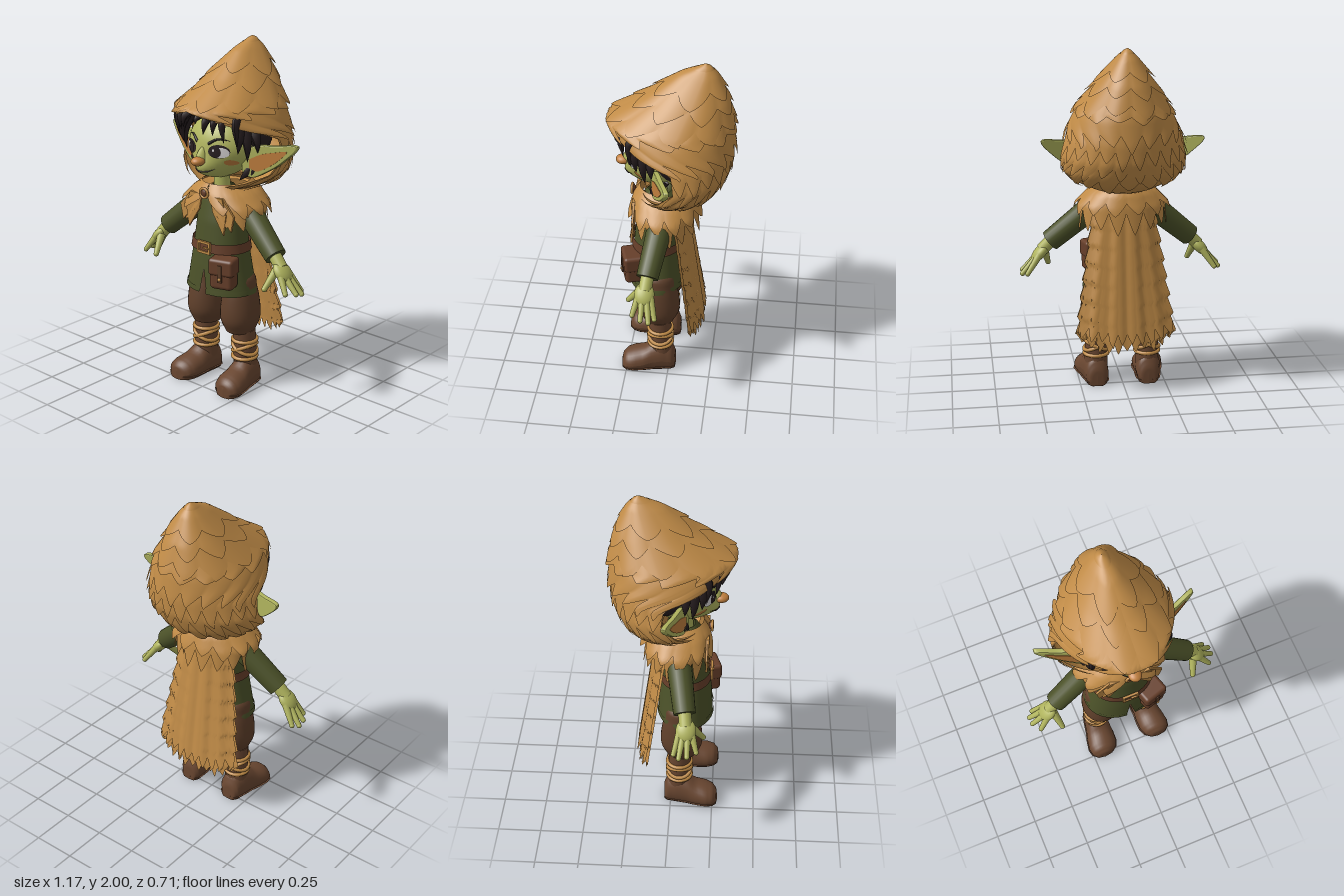
import * as THREE from 'three';
import { ParametricGeometry } from 'three/addons/geometries/ParametricGeometry.js';
import { RoundedBoxGeometry } from 'three/addons/geometries/RoundedBoxGeometry.js';

const mat = (name, color) => {
  const m = new THREE.MeshStandardMaterial({ color, side: THREE.DoubleSide });
  m.name = name;
  return m;
};
const V = (x, y, z) => new THREE.Vector3(x, y, z);
const rnd = k => { const f = Math.sin(k * 127.1 + 31.7) * 43758.55; return f - Math.floor(f); };

export function createModel() {
  const M = {
    straw: mat('strawTan', 0xc08b47), skin: mat('skinGreen', 0xb0b45e), tunic: mat('mossGreen', 0x4c5229),
    trousers: mat('trouserBrown', 0x60402b), boot: mat('bootBrown', 0x6a4731), leather: mat('leather', 0x673f2a),
    hair: mat('hairBlack', 0x271e20), blush: mat('blushOrange', 0xc07f3e), white: mat('eyeWhite', 0xdad7d8)
  };
  const root = new THREE.Group();
  const add = (name, geo, m, parent = root) => {
    const mesh = new THREE.Mesh(geo, m);
    mesh.name = name;
    parent.add(mesh);
    return mesh;
  };
  const group = name => { const g = new THREE.Group(); g.name = name; root.add(g); return g; };
  const ball = (name, m, p, sx, sy, sz, parent) => {
    const b = add(name, new THREE.SphereGeometry(1, 24, 16), m, parent);
    b.position.copy(p); b.scale.set(sx, sy, sz);
    return b;
  };
  // straight limb between two points
  const limb = (name, m, p, q, r0, r1, parent) => {
    const l = add(name, new THREE.CylinderGeometry(r1, r0, p.distanceTo(q), 20), m, parent);
    l.position.copy(p).lerp(q, 0.5);
    l.quaternion.setFromUnitVectors(V(0, 1, 0), q.clone().sub(p).normalize());
    return l;
  };
  // tapering strand along a curve
  const strand = (name, m, pts, r, parent) => {
    const c = new THREE.CatmullRomCurve3(pts), n = 12, sides = 8;
    const g = new THREE.TubeGeometry(c, n, r, sides), pos = g.attributes.position;
    for (let i = 0; i < pos.count; i++) {
      const t = Math.floor(i / (sides + 1)) / n;
      const v = V().fromBufferAttribute(pos, i).lerp(c.getPointAt(t), t ** 1.6);
      pos.setXYZ(i, v.x, v.y, v.z);
    }
    g.computeVertexNormals();
    return add(name, g, m, parent);
  };

  // oval garment surface from rows [y, halfWidth, zFront, zBack, zCentre, frontGapAngle], a little squarer in front
  const oval = rows => (u, y, lift) => {
    let i = 0;
    while (i < rows.length - 2 && y < rows[i + 1][0]) i++;
    const f = THREE.MathUtils.clamp((rows[i][0] - y) / (rows[i][0] - rows[i + 1][0]), 0, 1);
    const [, a, zf, zb, zc, gap] = rows[i].map((e, k) => e + (rows[i + 1][k] - e) * f);
    const th = gap + u * 2 * (Math.PI - gap), pow = Math.cos(th) > 0 ? 0.94 : 1;
    const square = e => Math.sign(e) * Math.abs(e) ** pow;
    const c = square(Math.cos(th)), s = square(Math.sin(th));
    return [a * s + lift * s, y, zc + c * (c > 0 ? zf - zc : zc - zb) + lift * c];
  };
  // sheet of a surface between two heights, its hem cut into n pointed feathers
  const tier = (name, m, surf, y0, y1, n, depth, lift0, lift1, nv, parent) => {
    const g = new ParametricGeometry((u, v, out) => {
      const k = Math.floor(u * n + 1e-6), p = Math.max(0, u * n - k);
      const t = 1 - Math.abs(2 * p - 1) ** 1.25;
      const hem = y1 - depth * t * (0.7 + 0.6 * rnd(k + n + y1));
      const lift = lift0 + (lift1 - lift0) * v * (0.45 + 0.55 * t);
      out.set(...surf(u, y0 + (hem - y0) * v, lift));
    }, n * 10, nv);
    g.computeVertexNormals();
    return add(name, g, m, parent);
  };

  // Hood: shell with a face opening, then overlapping feather tiers
  const hood = group('hood');
  const hoodSurf = oval([
    [2.0, 0, -0.18, -0.18, -0.18, 0], [1.985, 0.025, -0.145, -0.21, -0.18, 0], [1.94, 0.058, -0.05, -0.24, -0.17, 0],
    [1.8, 0.15, 0.125, -0.295, -0.11, 0],
    [1.66, 0.245, 0.34, -0.325, -0.04, 0], [1.62, 0.265, 0.325, -0.33, -0.03, 0.45], [1.57, 0.285, 0.3, -0.33, -0.02, 0.9],
    [1.53, 0.3, 0.29, -0.33, -0.02, 1.3], [1.49, 0.315, 0.28, -0.33, -0.02, 1.6], [1.38, 0.34, 0.24, -0.315, -0.02, 1.65],
    [1.3, 0.325, 0.19, -0.28, -0.02, 1.3], [1.24, 0.265, 0.175, -0.24, -0.02, 0.8], [1.195, 0.17, 0.165, -0.18, 0, 0.25],
    [1.175, 0.1, 0.15, -0.1, 0, 0.15]
  ]);
  tier('hoodShell', M.straw, hoodSurf, 2, 1.175, 20, 0, 0, 0, 60, hood);
  [[1.97, 1.88, 6, 0.06], [1.91, 1.8, 8, 0.06], [1.84, 1.71, 10, 0.06], [1.75, 1.65, 12, 0.035], [1.66, 1.55, 11, 0.08],
    [1.58, 1.46, 12, 0.085], [1.5, 1.37, 12, 0.085], [1.42, 1.28, 11, 0.07]]
    .forEach(([a, b, n, d]) => tier('hoodFeathers', M.straw, hoodSurf, a, b, n, d, 0.003, b > 1.5 ? 0.034 : 0.028, 10, hood));

  // Shoulder capelet
  const capelet = group('capelet');
  const capeletSurf = oval([
    [1.22, 0.12, 0.17, -0.1, 0.03, 0], [1.17, 0.18, 0.195, -0.13, 0.03, 0.05],
    [1.1, 0.235, 0.21, -0.14, 0.03, 0.22], [1.0, 0.235, 0.22, -0.14, 0.03, 0.42], [0.94, 0.23, 0.225, -0.14, 0.03, 0.5]
  ]);
  tier('capeletLower', M.straw, capeletSurf, 1.2, 1.07, 14, 0.1, 0, 0.025, 12, capelet);
  tier('capeletUpper', M.straw, capeletSurf, 1.22, 1.13, 12, 0.07, 0.008, 0.045, 10, capelet);
  for (const s of [-1, 1]) // long front points
    [[0.1, 0.95, 0.05], [0.15, 0.98, 0.05]].forEach(([x, y, w]) => {
      const sh = new THREE.Shape([[0.03 * s, 1.16], [(x - w) * s, 1.07], [x * s + 0.03 * s, y], [(x + w) * s, 1.07], [0.12 * s, 1.16]].map(p => new THREE.Vector2(...p)));
      add('frontPoint', new THREE.ExtrudeGeometry(sh, { depth: 0.012, bevelEnabled: false }), M.straw, capelet).position.z = 0.212 - x * 0.12;
    });

  // Long cape: two layers with ragged sides and hem
  const cape = group('cape');
  const capeSurf = (u, y, lift) => {
    const s = 2 * u - 1, t = (1.12 - y) / 0.85, j = y * 9 + 0.3;
    const w = (0.165 + 0.11 * t) * (1 + 0.09 * (Math.ceil(j) - j));
    return [s * w, y + 0.06 * s * s * t, -0.078 - 0.115 * t + 0.06 * s * s + 0.004 * Math.cos(s * 14) - lift];
  };
  tier('capeLining', M.straw, capeSurf, 1.15, 0.31, 11, 0.055, 0, 0, 48, cape);
  tier('capeOuter', M.straw, capeSurf, 1.14, 0.37, 10, 0.07, 0.012, 0.018, 48, cape);

  // Tunic with a front slit, belt, buckle
  const tunicSurf = oval([
    [1.19, 0.06, 0.13, 0, 0.06, 0], [1.13, 0.14, 0.17, -0.05, 0.06, 0], [1.0, 0.15, 0.2, -0.06, 0.07, 0],
    [0.86, 0.165, 0.215, -0.06, 0.08, 0], [0.73, 0.19, 0.23, -0.07, 0.075, 0], [0.59, 0.22, 0.24, -0.08, 0.07, 0.1]
  ]);
  tier('tunic', M.tunic, tunicSurf, 1.19, 0.59, 10, 0, 0, 0, 30);
  tier('tunicHem', M.tunic, tunicSurf, 0.615, 0.585, 10, 0, 0.005, 0.006, 2);
  tier('belt', M.leather, tunicSurf, 0.885, 0.83, 10, 0, 0.012, 0.012, 2);
  const rect = (w, h) => [[-w, -h], [w, -h], [w, h], [-w, h]].map(p => new THREE.Vector2(...p));
  const frame = new THREE.Shape(rect(0.048, 0.036));
  frame.holes.push(new THREE.Path(rect(0.034, 0.022)));
  add('buckle', new THREE.ExtrudeGeometry(frame, { depth: 0.014, bevelEnabled: false }), M.straw).position.set(0, 0.857, 0.222);
  add('bucklePin', new THREE.BoxGeometry(0.04, 0.008, 0.01), M.straw).position.set(0.02, 0.857, 0.236);

  // Belt pouch
  const pouch = group('pouch');
  pouch.position.set(0.137, 0.73, 0.215); pouch.rotation.y = 0.3;
  add('pouchBody', new RoundedBoxGeometry(0.14, 0.17, 0.1, 4, 0.025), M.leather, pouch);
  add('pouchFlap', new RoundedBoxGeometry(0.152, 0.1, 0.112, 4, 0.02), M.leather, pouch).position.y = 0.047;
  add('pouchStrap', new THREE.BoxGeometry(0.025, 0.1, 0.008), M.trousers, pouch).position.set(0, 0.015, 0.058);
  ball('pouchStud', M.straw, V(0, -0.015, 0.063), 0.01, 0.01, 0.006, pouch);

  // Brooch
  ball('broochStone', M.leather, V(0, 1.175, 0.22), 0.024, 0.024, 0.015);
  add('broochRing', new THREE.TorusGeometry(0.027, 0.008, 8, 24), M.straw).position.set(0, 1.175, 0.225);

  // Head: an egg with a narrow jaw and a muzzle; faceZ gives the depth of its front
  const head = group('head');
  const jaw = ny => ny < 0 ? 1 - 0.4 * ny * ny : 1;
  const muzzle = (x, ny) => 0.08 * Math.exp(-(((ny + 0.72) / 0.4) ** 2) - (x / 0.085) ** 2);
  const faceZ = (x, y) => {
    const ny = (y - 1.43) / 0.19, nx = x / (0.21 * jaw(ny));
    const nz = Math.sqrt(Math.max(0, 1 - nx * nx - ny * ny));
    return 0.05 + 0.185 * nz + muzzle(x, ny) * Math.sqrt(nz);
  };
  const skull = new THREE.SphereGeometry(1, 48, 36), sp = skull.attributes.position;
  for (let i = 0; i < sp.count; i++) {
    const ny = sp.getY(i), nz = sp.getZ(i), x = sp.getX(i) * 0.21 * jaw(ny);
    sp.setXYZ(i, x, 1.43 + 0.19 * ny, 0.05 + 0.185 * nz + muzzle(x, ny) * Math.sqrt(Math.max(0, nz)));
  }
  skull.computeVertexNormals();
  add('face', skull, M.skin, head);
  limb('neck', M.skin, V(0, 1.14, 0.07), V(0, 1.3, 0.08), 0.05, 0.042, head);
  strand('noseBridge', M.skin, [V(0, 1.36, 0.25), V(0, 1.41, 0.24), V(0, 1.46, 0.21)], 0.032, head);
  ball('nose', M.blush, V(0, 1.368, 0.272), 0.038, 0.026, 0.042, head);
  const patch = (name, m, cx, cy, rx, ry, off) => {
    const g = new THREE.CircleGeometry(1, 28), p = g.attributes.position;
    for (let i = 0; i < p.count; i++) {
      const x = cx + rx * p.getX(i), y = cy + ry * p.getY(i);
      p.setXYZ(i, x, y, faceZ(x, y) + off);
    }
    g.computeVertexNormals();
    add(name, g, m, head);
  };
  const onFace = pts => pts.map(([x, y]) => V(x, y, faceZ(x, y) + 0.003));
  for (const s of [-1, 1]) {
    patch('eyeOutline', M.hair, s * 0.1, 1.428, 0.055, 0.038, 0.005);
    patch('eyeWhite', M.white, s * 0.11, 1.423, 0.044, 0.03, 0.008);
    patch('iris', M.hair, s * 0.088, 1.426, 0.029, 0.032, 0.011);
    patch('eyeGlint', M.white, s * 0.088 - 0.009, 1.436, 0.006, 0.007, 0.014);
    patch('cheek', M.blush, s * 0.145, 1.364, 0.026, 0.018, 0.005);
    strand('eyebrow', M.hair, onFace([[s * 0.04, 1.466], [s * 0.09, 1.495], [s * 0.15, 1.487]]), 0.008, head);
    strand('mouthHalf', M.hair, onFace([[0, 1.307], [s * 0.04, 1.31], [s * 0.078, 1.327]]), 0.005, head);

    // Pointed ear with a coloured inner plate, swept back
    const ear = (name, pts, m, opts, z) => {
      const sh = new THREE.Shape();
      sh.moveTo(s * pts[0][0], pts[0][1]);
      sh.splineThru(pts.slice(1).map(([x, y]) => new THREE.Vector2(s * x, y)));
      const g = new THREE.ExtrudeGeometry(sh, opts), p = g.attributes.position;
      for (let i = 0; i < p.count; i++) p.setZ(i, p.getZ(i) + z - 0.37 * (Math.abs(p.getX(i)) - 0.2));
      g.computeVertexNormals();
      add(name, g, m, head);
    };
    ear('ear', [[0.17, 1.4], [0.24, 1.453], [0.34, 1.46], [0.455, 1.468], [0.38, 1.38], [0.3, 1.32], [0.22, 1.28], [0.17, 1.31]], M.skin,
      { depth: 0.015, bevelThickness: 0.008, bevelSize: 0.006, bevelSegments: 2 }, 0.065);
    ear('innerEar', [[0.21, 1.38], [0.27, 1.412], [0.34, 1.43], [0.41, 1.44], [0.36, 1.382], [0.3, 1.338], [0.25, 1.315], [0.21, 1.33]], M.blush,
      { depth: 0.004, bevelEnabled: false }, 0.087);
  }

  // Hair: cap behind the face plus loose locks
  const hair = group('hair');
  ball('hairCap', M.hair, V(0, 1.49, -0.02), 0.235, 0.2, 0.2, hair);
  [[-0.2, -0.215, 1.47, 0.2], [-0.15, -0.17, 1.5, 0.25], [-0.11, -0.12, 1.53, 0.28], [-0.07, -0.085, 1.55, 0.3], [0.02, 0.015, 1.585, 0.31],
    [0.08, 0.06, 1.53, 0.3], [0.12, 0.11, 1.53, 0.28], [0.15, 0.165, 1.49, 0.25], [0.2, 0.215, 1.46, 0.2]].forEach(([x, tx, ty, z]) =>
    strand('fringeLock', M.hair, [V(x * 0.8, 1.66, z - 0.1), V(x * 1.05, 1.61, z), V(tx, ty, z - 0.005)], 0.036, hair));
  for (const s of [-1, 1])
    [[0.2, 1.58, 0.12, 0.225, 1.37, 0.12], [0.22, 1.56, 0.07, 0.265, 1.42, 0.08], [0.19, 1.6, 0.16, 0.2, 1.42, 0.17],
      [0.19, 1.36, 0.03, 0.15, 1.25, 0.1], [0.2, 1.38, 0.02, 0.21, 1.27, 0.08]].forEach(([x, y, z, tx, ty, tz]) =>
      strand('sideLock', M.hair, [V(s * x, y, z), V(s * (x + tx + 0.04) / 2, (y + ty) / 2, (z + tz) / 2 + 0.01), V(s * tx, ty, tz)], 0.036, hair));

  for (const s of [-1, 1]) {
    const side = s > 0 ? 'left' : 'right';
    // Arm and hand
    const arm = group(side + 'Arm');
    ball('shoulder', M.tunic, V(s * 0.155, 1.08, 0.04), 0.075, 0.075, 0.075, arm);
    limb('sleeve', M.tunic, V(s * 0.155, 1.08, 0.04), V(s * 0.408, 0.864, 0.09), 0.073, 0.062, arm);
    limb('wrist', M.skin, V(s * 0.39, 0.88, 0.088), V(s * 0.455, 0.81, 0.098), 0.037, 0.037, arm);
    ball('palm', M.skin, V(s * 0.467, 0.793, 0.1), 0.033, 0.068, 0.057, arm).rotation.z = s * 0.75;
    [[0.545, 0.685, 0.035], [0.573, 0.68, 0.065], [0.57, 0.69, 0.11], [0.535, 0.695, 0.16]].forEach(([x, y, z], i) => {
      limb('finger', M.skin, V(s * 0.475, 0.785, 0.065 + i * 0.022), V(s * x, y, z), 0.021, 0.014, arm);
      ball('fingertip', M.skin, V(s * x, y, z), 0.0145, 0.0145, 0.0145, arm);
    });
    limb('thumb', M.skin, V(s * 0.44, 0.8, 0.125), V(s * 0.415, 0.705, 0.195), 0.025, 0.015, arm);
    ball('thumbTip', M.skin, V(s * 0.415, 0.705, 0.195), 0.0155, 0.0155, 0.0155, arm);

    // Baggy trouser leg
    const leg = group(side + 'Leg');
    const prof = [[0.06, 0.335], [0.078, 0.34], [0.088, 0.36], [0.108, 0.41], [0.111, 0.47], [0.102, 0.55], [0.09, 0.61], [0.075, 0.68], [0, 0.73]];
    const baggy = add('trouserLeg', new THREE.LatheGeometry(new THREE.SplineCurve(prof.map(p => new THREE.Vector2(...p))).getPoints(30), 32), M.trousers, leg);
    baggy.position.set(s * 0.127, 0, 0.062); baggy.scale.z = 1.1;

    // Boot lofted along z from [z, halfWidth, height]
    limb('bootShaft', M.boot, V(s * 0.152, 0.1, 0.045), V(s * 0.15, 0.35, 0.055), 0.068, 0.066, leg);
    const secs = [[-0.04, 0, 0.05], [-0.038, 0.045, 0.1], [-0.015, 0.066, 0.16], [0.04, 0.073, 0.19], [0.1, 0.077, 0.17],
      [0.15, 0.086, 0.135], [0.21, 0.09, 0.12], [0.25, 0.078, 0.105], [0.274, 0.05, 0.08], [0.28, 0, 0.05]];
    const foot = (name, grow, cap) => {
      const g = new ParametricGeometry((u, v, out) => {
        const f = v * (secs.length - 1), i = Math.min(secs.length - 2, Math.floor(f));
        const [z, w, h] = secs[i].map((e, k) => e + (secs[i + 1][k] - e) * (f - i));
        const a = -u * Math.PI * 2;
        out.set(s * (0.152 + 0.11 * Math.max(0, z)) + w * grow * Math.cos(a), THREE.MathUtils.clamp(h * (0.4 + 0.6 * Math.sin(a)), 0, cap), z);
      }, 28, 27);
      g.computeVertexNormals();
      add(name, g, M.boot, leg);
    };
    foot('boot', 1, 1);
    foot('sole', 1.06, 0.024);

    // Straw bindings round the shin: two level bands and a cross
    [[0.18, 0], [0.285, 0], [0.235, 0.42], [0.235, -0.42]].forEach(([y, tilt]) => {
      const band = add('legBinding', new THREE.TorusGeometry(0.07, 0.011, 8, 32), M.straw, leg);
      band.position.set(s * 0.151, y, 0.051);
      band.rotation.set(Math.PI / 2, tilt, 0);
      band.scale.x = 1 / Math.cos(tilt);
    });
  }
  return root;
}
